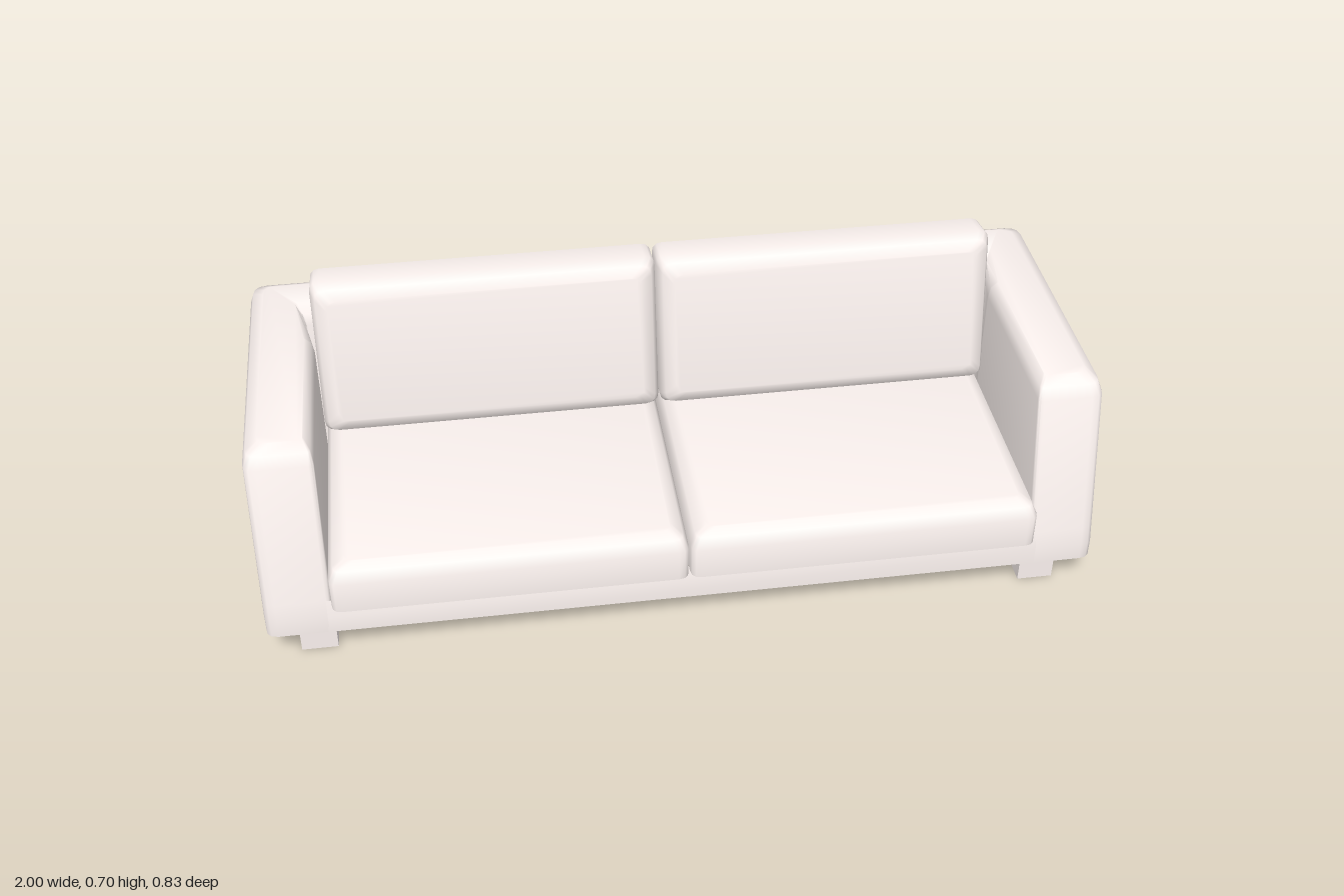
import * as THREE from 'three';
import { toCreasedNormals } from 'three/addons/utils/BufferGeometryUtils.js';

const material = new THREE.MeshStandardMaterial({ color: 0xfbf2ef, side: THREE.DoubleSide });
const STEPS = 3; // segments per rounded corner
const PER = STEPS + 1;

function addMesh(parent, name, geometry) {
  const mesh = new THREE.Mesh(geometry, material);
  mesh.name = name;
  parent.add(mesh);
  return mesh;
}

// Plan outline from corners [x, z, radius], each corner rounded by a curve
function outline(corners) {
  const points = [];
  corners.forEach(([x, z, r], i) => {
    const p = new THREE.Vector2(x, z);
    const toward = (c) => new THREE.Vector2(c[0], c[1]).sub(p).setLength(r).add(p);
    const a = toward(corners[(i + corners.length - 1) % corners.length]);
    const b = toward(corners[(i + 1) % corners.length]);
    points.push(...new THREE.QuadraticBezierCurve(a, p, b).getPoints(STEPS));
  });
  return points;
}

// Skin stacked outlines, close the top and leave the bottom open
function loft(levels, cornersAt, skip = () => false) {
  const loops = levels.map(([y, inset]) => outline(cornersAt(y, inset)));
  const n = loops[0].length;
  const positions = [];
  const index = [];
  loops.forEach((loop, l) => loop.forEach((p) => positions.push(p.x, levels[l][0], p.y)));
  for (let l = 0; l < loops.length - 1; l++) {
    for (let i = 0; i < n; i++) {
      if (skip(l, i)) continue;
      const j = (i + 1) % n;
      const a = l * n + i, b = l * n + j;
      index.push(a, b, b + n, a, b + n, a + n);
    }
  }
  const top = loops[loops.length - 1].map((p) => new THREE.Vector2(p.x, -p.y));
  const base = (loops.length - 1) * n;
  THREE.ShapeUtils.triangulateShape(top, []).forEach((t) => index.push(...t.map((k) => base + k)));
  const geometry = new THREE.BufferGeometry();
  geometry.setAttribute('position', new THREE.Float32BufferAttribute(positions, 3));
  geometry.setIndex(index);
  return toCreasedNormals(geometry, 0.95);
}

// Corners of a cushion, counter-clockwise from above
function cushionCorners(width, length, inset) {
  const x = width / 2 - inset, z = length / 2 - inset, r = 0.025;
  return [[-x, z, r], [x, z, r], [x, -z, r], [-x, -z, r]];
}

// Cushion shell: rounded on its upper side, open underneath
function cushion(width, length, height) {
  const levels = [[0, 0], [height - 0.04, 0], [height - 0.011, 0.012], [height, 0.038]];
  return loft(levels, (y, inset) => cushionCorners(width, length, inset));
}

export function createModel() {
  const sofa = new THREE.Group();
  sofa.name = 'sofa';

  // Arms and backrest: one U-shaped body with a sloping front
  const frontZ = (y) => Math.min(0.382, 0.295 + (0.56 - y) * 0.21);
  const bodyLevels = [[0.1, 0], [0.145, 0], [0.19, 0], [0.535, 0], [0.563, 0.009], [0.578, 0.035]];
  const body = loft(bodyLevels, (y, i) => {
    const f = frontZ(y) - i;
    const inner = 0.84 + i * 0.6, innerBack = 0.864 + i * 0.6, back = -0.258 - i;
    return [
      [-1 + i, f, 0.03], [-inner, f, 0.012], [-inner, -0.14, 0.005], [-innerBack, back, 0.005],
      [innerBack, back, 0.005], [inner, -0.14, 0.005], [inner, f, 0.012], [1 - i, f, 0.03],
      [1 - i, -0.415 + i, 0.035], [-1 + i, -0.415 + i, 0.035],
    ];
  }, (l, i) => l < 2 && i >= 2 * PER - 1 && i < 6 * PER); // inner walls stop at seat level
  addMesh(sofa, 'armsAndBackrest', body);

  // Front rail follows the slope of the arms
  const rail = new THREE.PlaneGeometry(1.71, 0.09, 1, 2).translate(0, 0.145, 0);
  const railPoints = rail.attributes.position;
  for (let i = 0; i < railPoints.count; i++) railPoints.setZ(i, frontZ(railPoints.getY(i)));
  rail.computeVertexNormals();
  addMesh(sofa, 'frontRail', rail);

  // Cushions and legs, mirrored left and right
  const seatGeometry = cushion(0.836, 0.645, 0.122);
  const backGeometry = cushion(0.836, 0.4, 0.122);
  const panelGeometry = new THREE.ShapeGeometry(new THREE.Shape(outline(cushionCorners(0.836, 0.4, 0))));
  panelGeometry.rotateX(Math.PI / 2);
  const legGeometry = new THREE.CylinderGeometry(0.0615, 0.0615, 0.19, 4, 1, true).rotateY(Math.PI / 4).toNonIndexed();
  legGeometry.computeVertexNormals();
  for (const [side, s] of [['left', 1], ['right', -1]]) {
    addMesh(sofa, `${side}SeatCushion`, seatGeometry).position.set(s * 0.42, 0.19, 0.0925);
    const back = addMesh(sofa, `${side}BackCushion`, backGeometry);
    back.position.set(s * 0.42, 0.493, -0.235);
    back.rotation.x = Math.PI / 2 - 0.175;
    addMesh(back, `${side}BackCushionRear`, panelGeometry);
    for (const [end, z] of [['Front', 0.286], ['Back', -0.277]]) {
      addMesh(sofa, `${side}${end}Leg`, legGeometry).position.set(s * 0.885, 0.095, z);
    }
  }
  return sofa;
}
